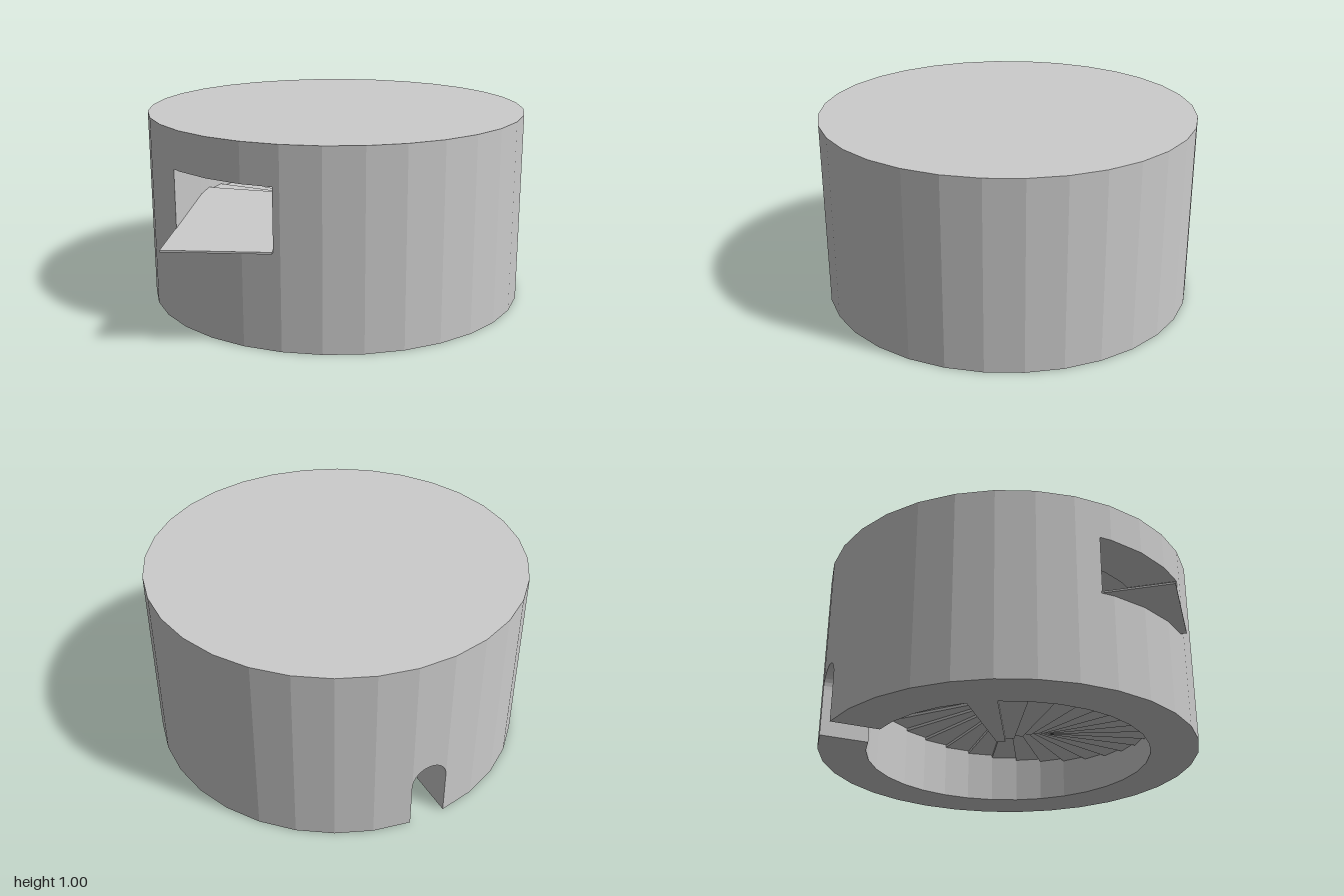
import * as THREE from 'three';

const SIDES = 32, STEP = (Math.PI * 2) / SIDES;
const R_OUT = 1, R_IN = 0.75, HEIGHT = 1, CEILING = 0.9;
const WIN = { x0: -0.75, x1: -0.23, y0: 0.5, y1: 0.8 };          // front opening
const DOOR = { angle: Math.PI + 4.5 * STEP, half: Math.sin(STEP / 2), spring: 0.25 };
const STAIR_IN = 0.23, RISE = WIN.y0 / SIDES;

const material = new THREE.MeshStandardMaterial({ color: 0xcccccc, flatShading: true });

// Point on the 32-sided outline of radius r at angle a (x = cos, z = sin)
function rim(r, a, y = 0) {
  const k = a - Math.floor(a / STEP) * STEP - STEP / 2;
  const d = (r * Math.cos(STEP / 2)) / Math.cos(k);
  return new THREE.Vector3(d * Math.cos(a), y, d * Math.sin(a));
}

// Outline angles from a0 to a1, keeping every corner between them
function angles(a0, a1) {
  const list = [a0];
  for (let k = Math.floor(a0 / STEP) + 1; k * STEP < a1 - 1e-6; k++) {
    if (k * STEP > a0 + 1e-6) list.push(k * STEP);
  }
  return [...list, a1];
}

// Strip of quads between two rows of points
function loft(A, B) {
  const pts = [];
  for (let i = 0; i < A.length - 1; i++) pts.push(A[i], A[i + 1], B[i + 1], A[i], B[i + 1], B[i]);
  const g = new THREE.BufferGeometry().setFromPoints(pts);
  g.computeVertexNormals();
  return g;
}

// Horizontal downward face between the inner and outer outline
function underside(inner, outer, y) {
  const pts = [...outer, ...inner.reverse()].map(p => new THREE.Vector2(p.x, p.z));
  return new THREE.ShapeGeometry(new THREE.Shape(pts)).rotateX(Math.PI / 2).translate(0, y, 0);
}

function add(parent, name, geometry) {
  const mesh = new THREE.Mesh(geometry, material);
  mesh.name = name;
  parent.add(mesh);
  return mesh;
}

// Angles where the openings cut the outline of radius r
function cuts(r) {
  const half = Math.asin(DOOR.half / r);
  return {
    w0: Math.acos(WIN.x1 / r), w1: Math.acos(WIN.x0 / r),
    d0: DOOR.angle - half, d1: DOOR.angle + half,
  };
}

// Door arch points on the outline of radius r
function arch(r) {
  const pts = [];
  for (let i = 0; i <= 16; i++) {
    const t = (Math.PI * i) / 16;
    const a = DOOR.angle + Math.asin((-DOOR.half * Math.cos(t)) / r);
    pts.push(rim(r, a, DOOR.spring + DOOR.half * Math.sin(t)));
  }
  return pts;
}

// One wall surface, with the window and door left out
function wallSurface(parent, name, r, top, outward) {
  const c = cuts(r), full = Math.PI * 2;
  const strip = (low, high) => add(parent, name, outward ? loft(high, low) : loft(low, high));
  const band = (a0, a1, y0, y1) => {
    const list = angles(a0, a1);
    strip(list.map(a => rim(r, a, y0)), list.map(a => rim(r, a, y1)));
  };
  band(0, full, WIN.y1, top);
  band(c.w1, c.w0 + full, WIN.y0, WIN.y1);
  band(c.d1, c.d0 + full, 0, WIN.y0);
  const low = arch(r);
  strip(low, low.map(p => p.clone().setY(WIN.y0)));
}

function buildWall() {
  const wall = new THREE.Group();
  wall.name = 'roundWall';
  wallSurface(wall, 'outerWall', R_OUT, HEIGHT, true);
  wallSurface(wall, 'innerWall', R_IN, CEILING, false);

  // Roof and ceiling
  add(wall, 'roof', new THREE.CircleGeometry(R_OUT, SIDES).rotateX(-Math.PI / 2).translate(0, HEIGHT, 0));
  add(wall, 'ceiling', new THREE.CircleGeometry(R_IN, SIDES).rotateX(Math.PI / 2).translate(0, CEILING, 0));

  // Underside of the wall and head of the front opening
  const i = cuts(R_IN), o = cuts(R_OUT), full = Math.PI * 2;
  const arc = (r, a0, a1) => angles(a0, a1).map(a => rim(r, a));
  add(wall, 'wallBase', underside(arc(R_IN, i.d1, i.d0 + full), arc(R_OUT, o.d1, o.d0 + full), 0));
  add(wall, 'openingHead', underside(arc(R_IN, i.w0, i.w1), arc(R_OUT, o.w0, o.w1), WIN.y1));

  // Sides of the front opening
  const jamb = (key, y) => [rim(R_IN, i[key], y), rim(R_OUT, o[key], y)];
  add(wall, 'openingSide', loft(jamb('w0', WIN.y0), jamb('w0', WIN.y1)));
  add(wall, 'openingSide', loft(jamb('w1', WIN.y1), jamb('w1', WIN.y0)));

  // Arched door passage
  const frame = (r, c) => [rim(r, c.d0), ...arch(r), rim(r, c.d1)];
  add(wall, 'doorPassage', loft(frame(R_OUT, o), frame(R_IN, i)));
  return wall;
}

// Full turn of wedge steps rising from the floor to the platform
function buildStairs() {
  const stairs = new THREE.Group();
  stairs.name = 'spiralStairs';
  for (let k = 0; k < SIDES; k++) {
    const a1 = Math.PI - k * STEP, a0 = a1 - STEP;
    const corner = (r, a) => new THREE.Vector2(r * Math.cos(a), r * Math.sin(a));
    const shape = new THREE.Shape([
      corner(STAIR_IN, a0), corner(R_IN, a0), corner(R_IN, a1), corner(STAIR_IN, a1),
    ]);
    const g = new THREE.ExtrudeGeometry(shape, { depth: RISE, bevelEnabled: false });
    add(stairs, 'step', g.rotateX(Math.PI / 2).translate(0, (k + 1) * RISE, 0));
  }
  return stairs;
}

export function createModel() {
  const model = new THREE.Group();
  model.name = 'roundTower';
  model.add(buildWall(), buildStairs());

  // Landing that runs out through the front opening
  const thick = 0.01;
  const platform = add(model, 'platform', new THREE.BoxGeometry(WIN.x1 - WIN.x0, thick, 1));
  platform.position.set((WIN.x0 + WIN.x1) / 2, WIN.y0 - thick / 2, 0.5);
  return model;
}
